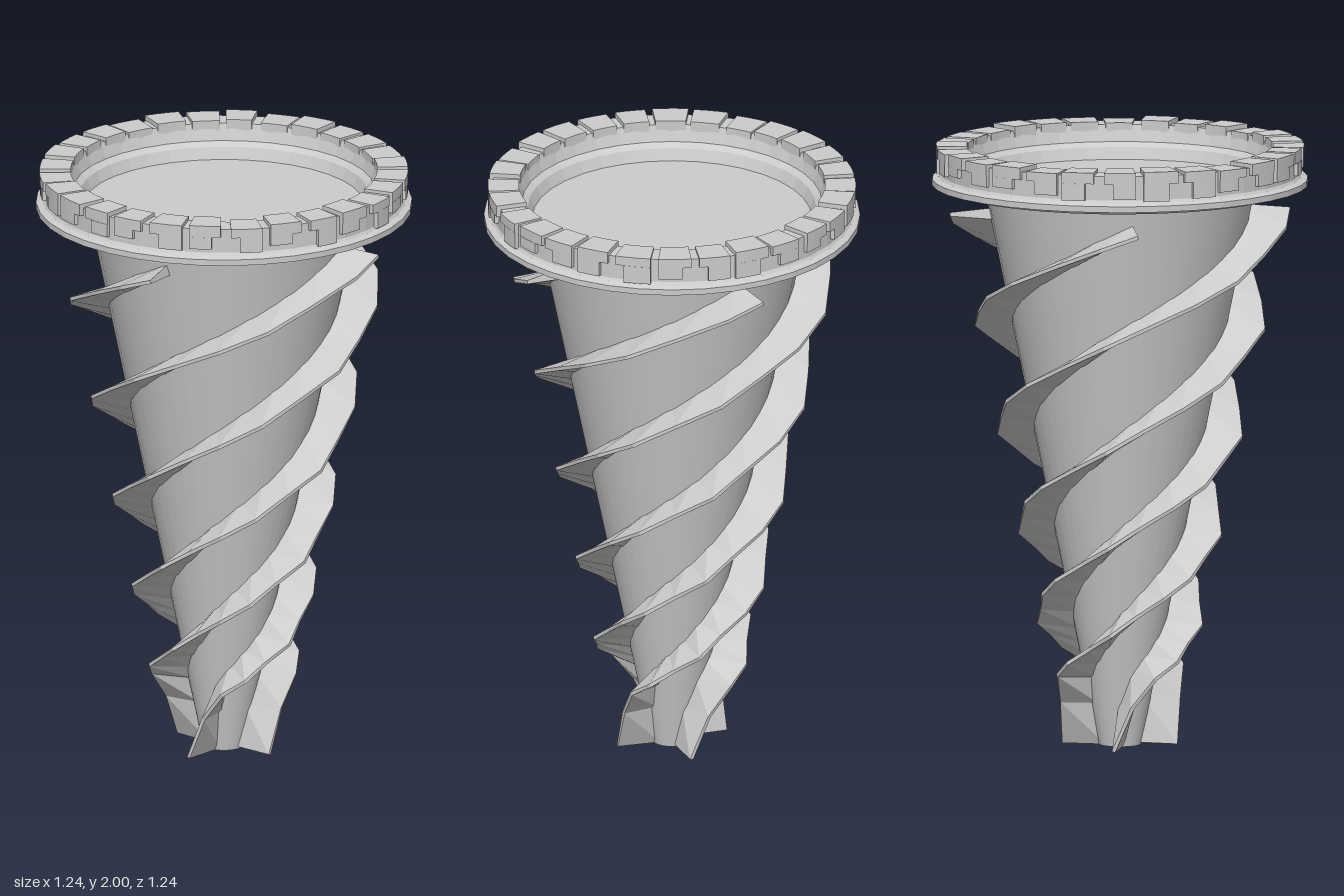
import * as THREE from 'three';

const material = new THREE.MeshStandardMaterial({ color: 0xcccccc, side: THREE.DoubleSide });
const flatMaterial = new THREE.MeshStandardMaterial({ color: 0xcccccc, side: THREE.DoubleSide, flatShading: true });

function add(parent, name, geometry, mat = material) {
  const mesh = new THREE.Mesh(geometry, mat);
  mesh.name = name;
  parent.add(mesh);
  return mesh;
}

function seeded(seed) {
  return () => {
    seed = (seed * 16807) % 2147483647;
    return seed / 2147483647;
  };
}

// Core cone radius and fin edge radius at a given height
const coreRadius = (y) => 0.07 + 0.203 * y;
const edgeRadius = (y) => 0.183 + 0.209 * y;

// Helix path: [quarter turns, height], steep at the tip
const PATH = [[0, 0], [0.3, 0.22], [1, 0.4], [2, 0.7], [3, 1.03], [4, 1.39], [5, 1.73], [5.14, 1.775]];
function helixHeight(q) {
  let i = 0;
  while (i < PATH.length - 2 && q > PATH[i + 1][0]) i++;
  const [q0, y0] = PATH[i], [q1, y1] = PATH[i + 1];
  return y0 + ((q - q0) / (q1 - q0)) * (y1 - y0);
}

// Wedge-section fin swept along the helix, with a slightly jagged edge
function finGeometry() {
  const stops = [];
  for (let q = 0; q < 5.1; q += 0.2) stops.push(q);
  stops.push(5.14);
  const jag = [0.008, -0.012, 0.004, 0.012, -0.008];
  const positions = [], index = [];
  stops.forEach((q, i) => {
    const y = helixHeight(q);
    const angle = q * Math.PI / 2;
    const rise = helixHeight(Math.min(q + 0.05, 5.14)) - helixHeight(Math.max(q - 0.05, 0));
    const inner = Math.max(coreRadius(y) - 0.02, 0.03);
    const outer = edgeRadius(y) + (i === stops.length - 1 ? 0.01 : jag[i % 5]);
    const slope = Math.atan2(rise, 0.1 * Math.PI / 2 * (inner + outer) / 2);
    for (const [r, t] of [[inner, 0.02], [outer, 0.006], [outer, -0.006], [inner, -0.02]]) {
      const a = angle - t * Math.sin(slope) / r;
      positions.push(r * Math.sin(a), Math.max(0, y + t * Math.cos(slope)), r * Math.cos(a));
    }
    if (i === 0) return;
    const p = (i - 1) * 4, n = i * 4;
    for (let k = 0; k < 4; k++) {
      const m = (k + 1) % 4;
      index.push(p + k, p + m, n + k, p + m, n + m, n + k);
    }
  });
  const e = (stops.length - 1) * 4;
  index.push(0, 2, 1, 0, 3, 2, e, e + 1, e + 2, e, e + 2, e + 3);
  const g = new THREE.BufferGeometry();
  g.setAttribute('position', new THREE.Float32BufferAttribute(positions, 3));
  g.setIndex(index);
  const flat = g.toNonIndexed();
  flat.computeVertexNormals();
  return flat;
}

// Curved stone block between two angles and two radii
function blockGeometry(a0, a1, r0, r1, height) {
  const shape = new THREE.Shape();
  const n = 3;
  for (let i = 0; i <= n; i++) {
    const a = a0 + (a1 - a0) * i / n;
    if (i === 0) shape.moveTo(r1 * Math.cos(a), r1 * Math.sin(a));
    else shape.lineTo(r1 * Math.cos(a), r1 * Math.sin(a));
  }
  for (let i = n; i >= 0; i--) {
    const a = a0 + (a1 - a0) * i / n;
    shape.lineTo(r0 * Math.cos(a), r0 * Math.sin(a));
  }
  return new THREE.ExtrudeGeometry(shape, { depth: height, bevelEnabled: false }).rotateX(-Math.PI / 2);
}

export function createModel() {
  const model = new THREE.Group();
  model.name = 'drillTower';

  // Tapered core
  const core = new THREE.CylinderGeometry(coreRadius(1.85), coreRadius(0), 1.85, 40);
  add(model, 'core', core.translate(0, 0.925, 0));

  // Four identical spiral fins
  const fin = finGeometry();
  for (let i = 0; i < 4; i++) {
    add(model, 'spiralFin', fin, flatMaterial).rotation.y = i * Math.PI / 2;
  }

  // Rim ring: underside, flange lip, wall, top and stepped inside
  const rimProfile = [
    [0.43, 1.84], [0.57, 1.855], [0.59, 1.865], [0.62, 1.868], [0.62, 1.888],
    [0.6, 1.896], [0.594, 1.905], [0.594, 1.985], [0.512, 1.985],
    [0.495, 1.93], [0.475, 1.915], [0.46, 1.875],
  ].map(([r, y]) => new THREE.Vector2(r, y));
  add(model, 'rim', new THREE.LatheGeometry(rimProfile, 36), flatMaterial);

  // Floor inside the rim
  const floor = new THREE.CircleGeometry(0.465, 36).rotateX(-Math.PI / 2);
  add(model, 'floor', floor.translate(0, 1.876, 0));

  // Worn stone blocks around the rim
  const blocks = new THREE.Group();
  blocks.name = 'rimBlocks';
  model.add(blocks);
  const random = seeded(77);
  const count = 28, step = Math.PI * 2 / count;
  for (let i = 0; i < count; i++) {
    const a0 = i * step + 0.012 + random() * 0.02;
    const a1 = (i + 1) * step - 0.012 - random() * 0.02;
    const base = 1.9 + random() * 0.03;
    const top = i % 4 === 0 ? 2 : 1.99 + random() * 0.01;
    add(blocks, 'rimBlock', blockGeometry(a0, a1, 0.505, 0.604 + random() * 0.006, top - 1.96)).position.y = 1.96;
    // Lower face of the block, set narrower on one side
    add(blocks, 'rimBlockFace', blockGeometry(a0 + (i % 2) * 0.05, a1 - ((i + 1) % 2) * 0.05, 0.58, 0.606, 1.96 - base)).position.y = base;
  }
  return model;
}
